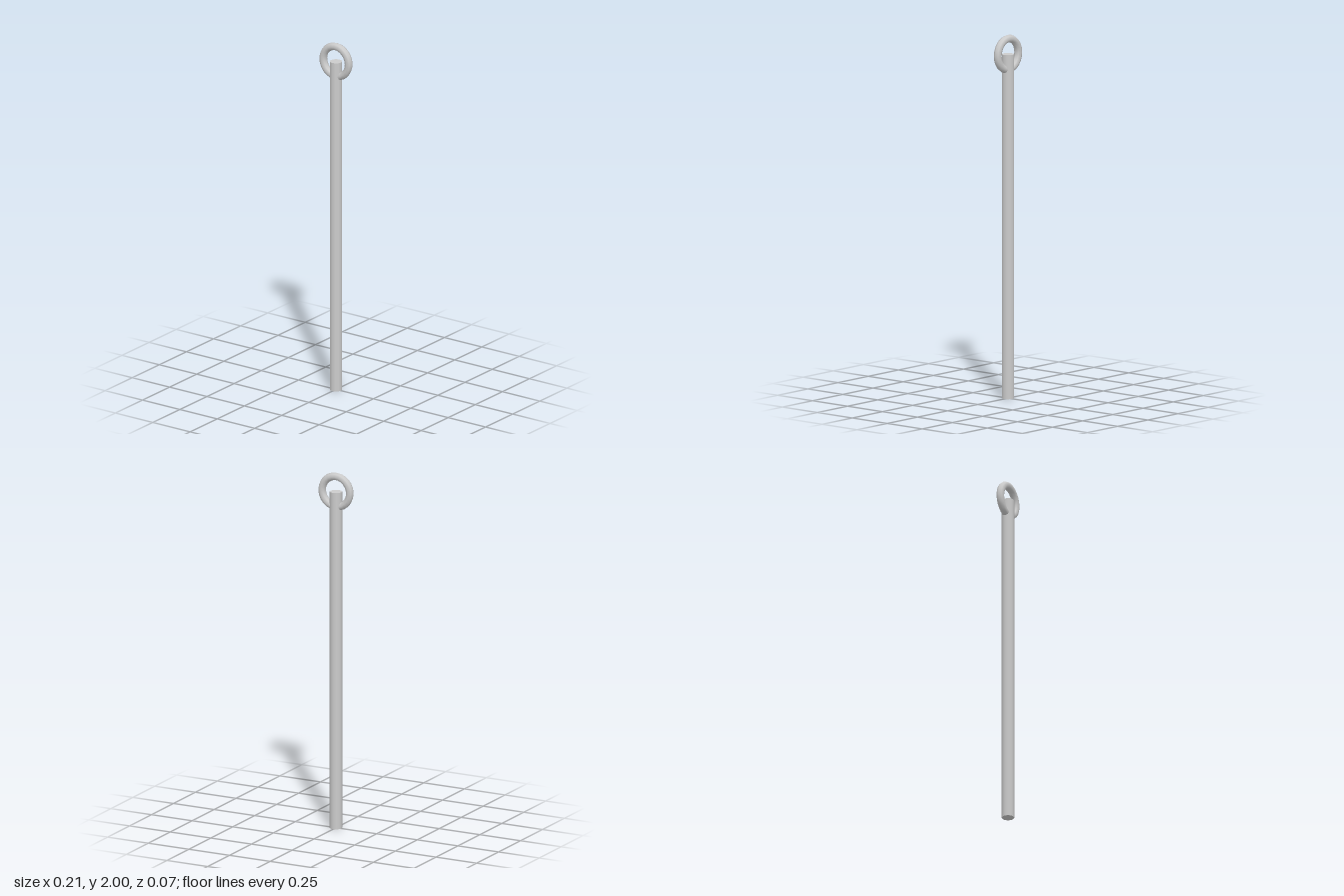
import * as THREE from 'three';

export function createModel() {
  const group = new THREE.Group();
  const material = new THREE.MeshStandardMaterial({ color: 0xcccccc });

  const ringRadius = 0.085;
  const tubeRadius = 0.0215;
  const rodHeight = 2 - ringRadius - tubeRadius; // the rod ends at the ring's centre

  // Long straight rod
  const rod = new THREE.Mesh(new THREE.CylinderGeometry(0.034, 0.034, rodHeight, 12), material);
  rod.name = 'rod';
  rod.position.y = rodHeight / 2;
  group.add(rod);

  // Upright ring passing through the top of the rod
  const ring = new THREE.Mesh(new THREE.TorusGeometry(ringRadius, tubeRadius, 8, 24), material);
  ring.name = 'ring';
  ring.position.y = rodHeight;
  group.add(ring);

  return group;
}
